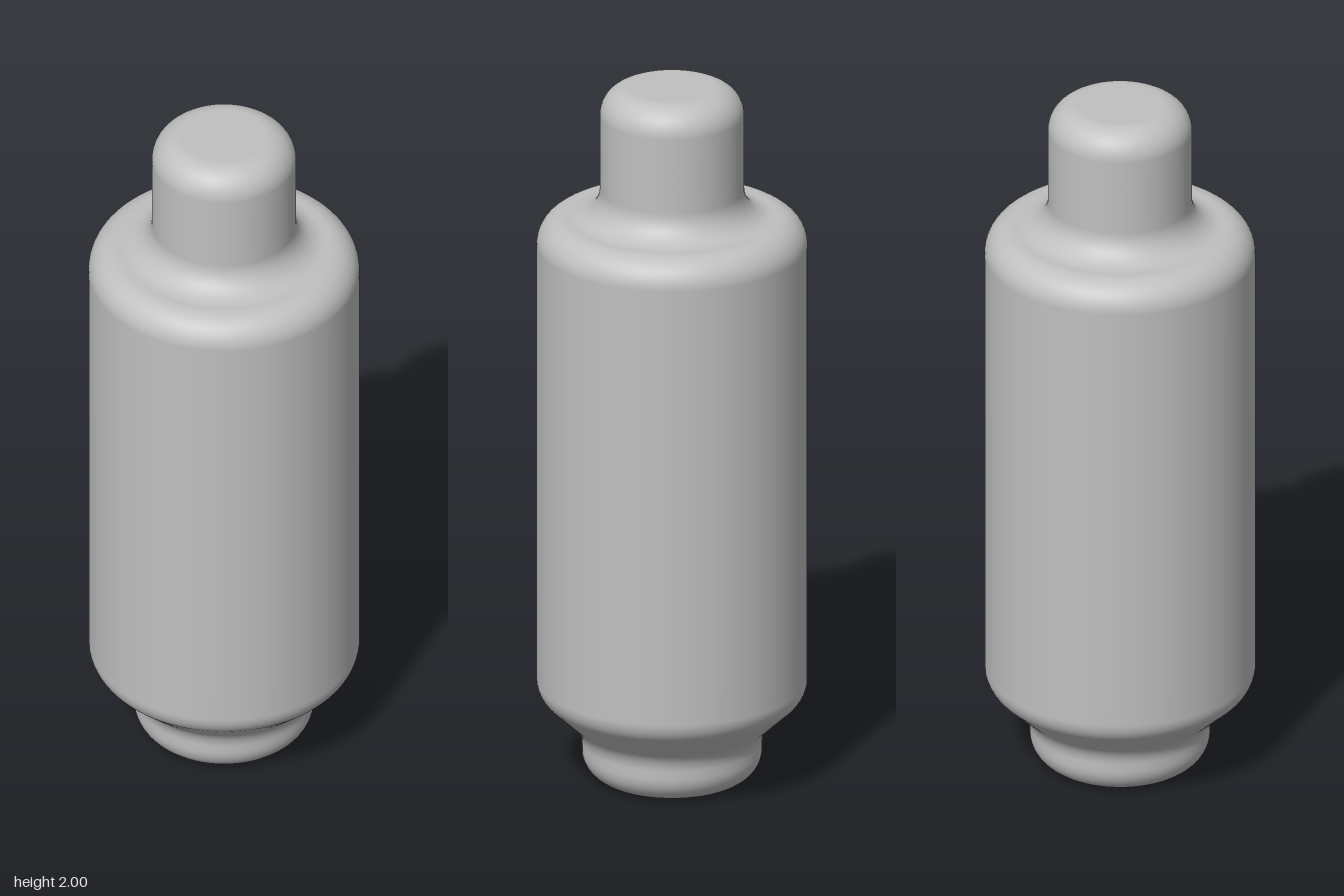
import * as THREE from 'three';

// Turns [radius, height, fillet] corners into a profile with rounded corners
function roundedProfile(corners, steps = 12) {
  const v = corners.map(([x, y]) => new THREE.Vector2(x, y));
  const out = [];
  corners.forEach(([, , fillet], i) => {
    if (!fillet) return out.push(v[i]);
    const a = v[i - 1].clone().sub(v[i]).normalize();
    const b = v[i + 1].clone().sub(v[i]).normalize();
    const half = Math.acos(a.dot(b)) / 2;
    const centre = a.clone().add(b).normalize().multiplyScalar(fillet / Math.sin(half)).add(v[i]);
    const start = a.multiplyScalar(fillet / Math.tan(half)).add(v[i]).sub(centre);
    const end = b.multiplyScalar(fillet / Math.tan(half)).add(v[i]).sub(centre);
    const sweep = Math.atan2(start.cross(end), start.dot(end));
    for (let s = 0; s <= steps; s++) {
      out.push(start.clone().rotateAround(new THREE.Vector2(), sweep * s / steps).add(centre));
    }
  });
  return out;
}

export function createModel() {
  const group = new THREE.Group();
  const grey = new THREE.MeshStandardMaterial({ color: 0xc0c0c0 });
  grey.name = 'plain grey';

  const R = 0.368, NECK = 0.196, FOOT = 0.245, F = 0.08;
  const parts = {
    // Rounded foot flaring out into the body
    foot: [[0, 0], [FOOT, 0, F], [FOOT, 0.135, F], [R, 0.25, F], [R, 0.4]],
    // Straight barrel with rounded shoulder and a fillet up to the neck
    body: [[R, 0.4], [R, 1.625, F], [NECK, 1.625, F], [NECK, 1.8]],
    // Narrow neck with a rounded, closed top
    neck: [[NECK, 1.8], [NECK, 2, F], [0, 2]],
  };
  for (const [name, corners] of Object.entries(parts)) {
    const mesh = new THREE.Mesh(new THREE.LatheGeometry(roundedProfile(corners), 96), grey);
    mesh.name = name;
    group.add(mesh);
  }
  return group;
}
